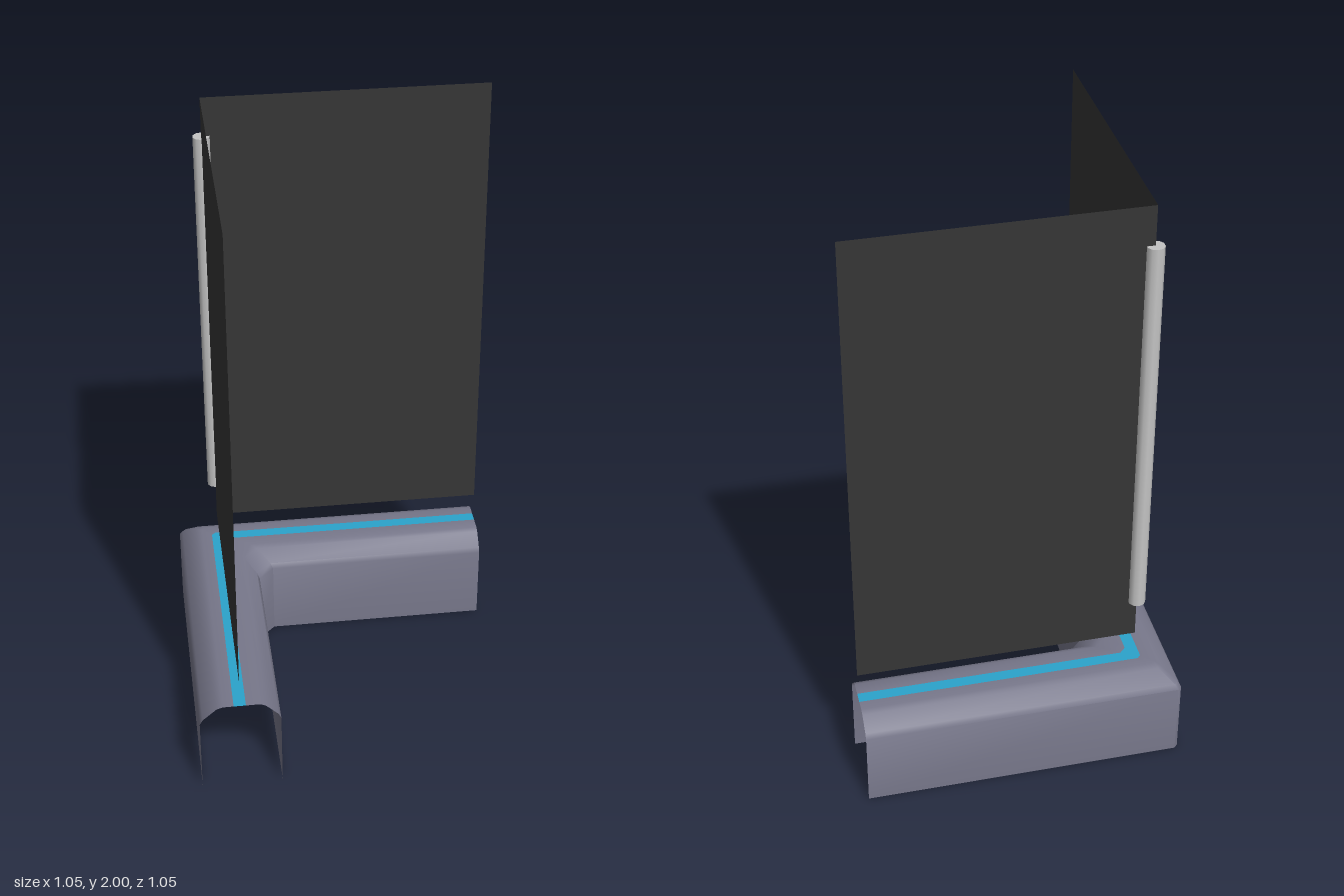
import * as THREE from 'three';
import { toCreasedNormals } from 'three/addons/utils/BufferGeometryUtils.js';

const END = 0.525;     // where both arms of the L stop
const CORNER = -0.395; // line of the panels

const material = (name, color) =>
  new THREE.MeshStandardMaterial({ name, color, side: THREE.DoubleSide });

// Sweeps a profile of [offset, height, corner cut] points along the L, outer side first.
function sweepCorner(profile) {
  const positions = [];
  const rows = profile.map(([d, y, c]) => [
    new THREE.Vector3(d, y, END),
    new THREE.Vector3(d, y, d + c),
    new THREE.Vector3(d + c, y, d),
    new THREE.Vector3(END, y, d),
  ]);
  for (let i = 0; i < rows.length - 1; i++) {
    for (let j = 0; j < 3; j++) {
      const a = rows[i][j], b = rows[i + 1][j], c = rows[i + 1][j + 1], d = rows[i][j + 1];
      for (const p of [a, b, d, b, c, d]) positions.push(p.x, p.y, p.z);
    }
  }
  const geometry = new THREE.BufferGeometry();
  geometry.setAttribute('position', new THREE.Float32BufferAttribute(positions, 3));
  return toCreasedNormals(geometry, 0.7);
}

export function createModel() {
  const group = new THREE.Group();
  group.name = 'cornerBarrier';

  const curbGrey = material('curbGrey', 0x77778a);
  const stripBlue = material('stripBlue', 0x2ba3cb);
  const panelBlack = material('panelBlack', 0x363636);
  const postGrey = material('postGrey', 0xc4c4c4);

  const add = (name, geometry, mat) => {
    const mesh = new THREE.Mesh(geometry, mat);
    mesh.name = name;
    group.add(mesh);
    return mesh;
  };

  // Hollow curb, open below and at both ends, with the strip set into its top
  const stripOuter = [-0.415, 0.325, 0.012];
  const stripInner = [-0.376, 0.325, 0.02];
  add('curbOuterShell', sweepCorner([
    [-0.525, 0, 0.012], [-0.525, 0.26, 0.012], [-0.515, 0.278, 0.012],
    [-0.47, 0.318, 0.012], [-0.45, 0.325, 0.012], stripOuter,
  ]), curbGrey);
  add('lightStrip', sweepCorner([stripOuter, stripInner]), stripBlue);
  add('curbInnerShell', sweepCorner([
    stripInner, [-0.33, 0.325, 0.045], [-0.313, 0.318, 0.05],
    [-0.272, 0.278, 0.052], [-0.264, 0.26, 0.052], [-0.264, 0, 0.052],
  ]), curbGrey);

  // Two thin panels floating above the curb
  const width = END - CORNER, mid = (END + CORNER) / 2;
  const panel = new THREE.PlaneGeometry(width, 1.58);
  add('backPanel', panel, panelBlack).position.set(mid, 1.21, CORNER);
  const side = add('sidePanel', panel, panelBlack);
  side.position.set(CORNER, 1.21, mid);
  side.rotation.y = Math.PI / 2;

  // Post at the corner where the panels meet
  const post = new THREE.CylinderGeometry(0.028, 0.028, 1.315, 10);
  add('cornerPost', post, postGrey).position.set(CORNER, 1.2125, CORNER);

  return group;
}
